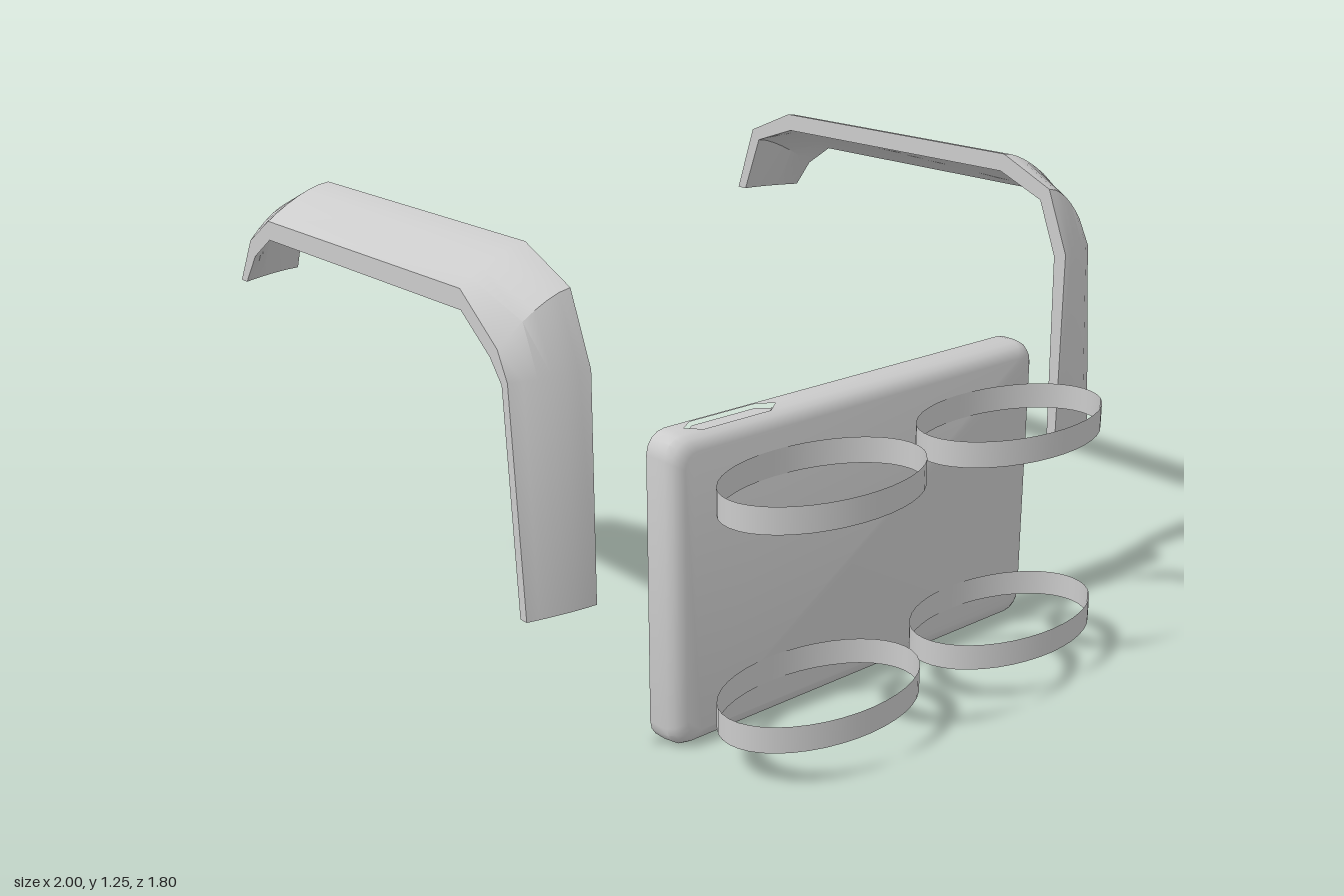
import * as THREE from 'three';
import { toCreasedNormals } from 'three/addons/utils/BufferGeometryUtils.js';

const material = new THREE.MeshStandardMaterial({ color: 0xcccccc, side: THREE.DoubleSide });

function named(name, geometry) {
  const mesh = new THREE.Mesh(geometry, material);
  mesh.name = name;
  return mesh;
}

// Joins equal-length closed loops; cell(i, j) may replace a quad with its own triangles
function loft(loops, caps, cell = () => null) {
  const n = loops[0].length;
  const index = [];
  const id = (i, j) => i * n + (j % n);
  for (let i = 0; i < loops.length - 1; i++) {
    for (let j = 0; j < n; j++) {
      const own = cell(i, j);
      if (own) index.push(...own.map(([a, b]) => id(a, b)));
      else index.push(id(i, j), id(i, j + 1), id(i + 1, j + 1), id(i, j), id(i + 1, j + 1), id(i + 1, j));
    }
  }
  caps(index, id, n, loops.length - 1);
  const geometry = new THREE.BufferGeometry();
  geometry.setAttribute('position', new THREE.Float32BufferAttribute(loops.flat(2), 3));
  geometry.setIndex(index);
  return toCreasedNormals(geometry, 0.55);
}

// Shallow pouch shell: open at the back, rounded at the front
function pouchShell() {
  const slotX = [-0.56, -0.52, -0.31, -0.27];
  const rings = [[0.45, 0], [0.457, 0], [0.485, 0], [0.513, 0.003], [0.53, 0.012], [0.54, 0.024], [0.545, 0.04]];
  const loops = rings.map(([z, inset]) => {
    const r = 0.055 - inset * 0.4;
    const x0 = -0.645 + inset, x1 = 0.64 - inset, y0 = inset, y1 = 0.805 - inset;
    const arc = (cx, cy, quarter) => Array.from({ length: 5 }, (_, k) => {
      const a = (quarter + k / 4) * Math.PI / 2;
      return [cx + r * Math.cos(a), cy + r * Math.sin(a), z];
    });
    return [
      ...slotX.map((x) => [x, y0, z]),
      ...arc(x1 - r, y0 + r, 3), ...arc(x1 - r, y1 - r, 0),
      ...slotX.slice().reverse().map((x) => [x, y1, z]),
      ...arc(x0 + r, y1 - r, 1), ...arc(x0 + r, y0 + r, 2),
    ];
  });
  // Six-sided opening in the top and bottom walls
  const opening = (i, j) => {
    const k = j >= 14 ? j - 14 : j;
    if (k > 2 || i < 1 || i > 2) return null;
    if (k === 1) return [];
    const tip = k === 0 ? j : j + 1;
    return i === 1
      ? [[1, j], [1, j + 1], [2, tip]]
      : [[2, tip], [3, j + 1], [3, j]];
  };
  const frontCap = (index, id, n, last) => {
    for (let j = 1; j < n - 1; j++) index.push(id(last, 0), id(last, j), id(last, j + 1));
  };
  return loft(loops, frontCap, opening);
}

// Six-sided insert standing in the slot
function slotInsert() {
  const shape = new THREE.Shape([
    [-0.55, -0.485], [-0.515, -0.51], [-0.315, -0.51],
    [-0.28, -0.485], [-0.315, -0.459], [-0.515, -0.459],
  ].map(([x, y]) => new THREE.Vector2(x, y)));
  return new THREE.ExtrudeGeometry(shape, { depth: 0.785, bevelEnabled: false })
    .rotateX(-Math.PI / 2).translate(0, 0.01, 0);
}

// Shoulder strap: a curved band bent over the top, given by its edges as [z, y]
function shoulderStrap() {
  const topInner = [[0.48, 0.43], [0.48, 1], [0.41, 1.175], [0.24, 1.25], [-0.66, 1.25], [-0.83, 1.18], [-0.9, 0.98]];
  const topOuter = [[0.455, 0.43], [0.415, 0.99], [0.38, 1.06], [0.24, 1.17], [-0.66, 1.17], [-0.77, 1.1], [-0.84, 0.98]];
  const underInner = [[0.45, 0.43], [0.44, 0.99], [0.38, 1.14], [0.23, 1.2], [-0.65, 1.2], [-0.8, 1.15], [-0.865, 0.98]];
  const underOuter = [[0.43, 0.43], [0.392, 0.98], [0.35, 1.035], [0.24, 1.12], [-0.66, 1.12], [-0.75, 1.06], [-0.81, 0.98]];
  const steps = 6;
  const loops = topInner.map((_, i) => {
    const across = (a, b) => Array.from({ length: steps + 1 }, (_, k) => {
      const u = k / steps, fall = u ** 1.6;
      return [0.82 + 0.18 * u, a[1] + (b[1] - a[1]) * fall, a[0] + (b[0] - a[0]) * fall];
    });
    return [...across(topInner[i], topOuter[i]), ...across(underInner[i], underOuter[i]).reverse()];
  });
  const endCaps = (index, id, n, last) => {
    for (let k = 0; k < steps; k++) {
      const m = n - 1 - k;
      index.push(id(0, k), id(0, m), id(0, m - 1), id(0, k), id(0, m - 1), id(0, k + 1));
      index.push(id(last, k), id(last, k + 1), id(last, m - 1), id(last, k), id(last, m - 1), id(last, m));
    }
  };
  return loft(loops, endCaps);
}

export function createModel() {
  const model = new THREE.Group();
  model.name = 'harness';

  const pouch = new THREE.Group();
  pouch.name = 'pouch';
  pouch.add(named('pouchShell', pouchShell()), named('slotInsert', slotInsert()));
  model.add(pouch);

  // Four thin oval loops on the pouch front
  const loopGeometry = new THREE.CylinderGeometry(1, 1, 0.068, 40, 1, true).scale(0.295, 1, 0.179);
  for (const [height, y] of [['lower', 0.132], ['upper', 0.679]]) {
    for (const [side, x] of [['Right', -0.332], ['Left', 0.328]]) {
      const loop = named(height + side + 'Loop', loopGeometry);
      loop.position.set(x, y, 0.724);
      model.add(loop);
    }
  }

  // Mirrored shoulder straps
  const strapGeometry = shoulderStrap();
  for (const [name, side] of [['leftStrap', 1], ['rightStrap', -1]]) {
    const strap = named(name, strapGeometry);
    strap.scale.x = side;
    model.add(strap);
  }
  return model;
}
